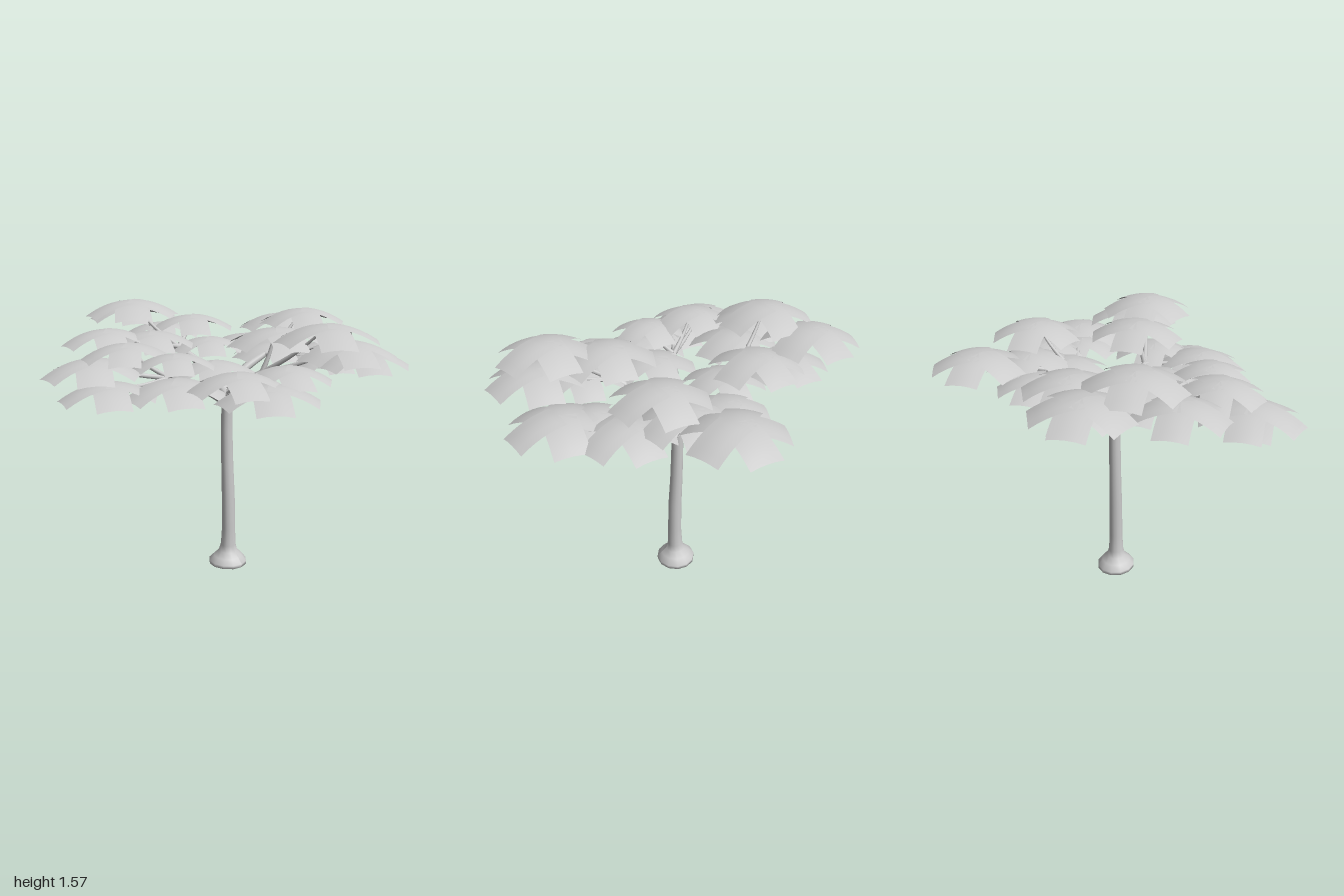
import * as THREE from 'three';

const bark = new THREE.MeshStandardMaterial({ color: 0xcccccc });
const leafMat = new THREE.MeshStandardMaterial({ color: 0xcccccc, side: THREE.DoubleSide });
const V = (x, y, z) => new THREE.Vector3(x, y, z);

// Tube along a smooth curve, narrowing from r0 to r1
function taperedTube(points, r0, r1, name) {
  const curve = new THREE.CatmullRomCurve3(points);
  const rings = 10, sides = 8;
  const geo = new THREE.TubeGeometry(curve, rings, 1, sides);
  const pos = geo.attributes.position;
  const p = V(0, 0, 0);
  for (let i = 0; i < pos.count; i++) {
    const t = Math.floor(i / (sides + 1)) / rings;
    const c = curve.getPointAt(t);
    p.fromBufferAttribute(pos, i).sub(c).multiplyScalar(r0 + (r1 - r0) * t).add(c);
    pos.setXYZ(i, p.x, p.y, p.z);
  }
  const mesh = new THREE.Mesh(geo, bark);
  mesh.name = name;
  return mesh;
}

// Square leaf card that starts at the origin, runs along -z and droops at the tip
function leafGeometry() {
  const geo = new THREE.PlaneGeometry(0.18, 0.25, 4, 6);
  geo.rotateX(-Math.PI / 2).translate(0, 0, -0.125);
  const pos = geo.attributes.position;
  for (let i = 0; i < pos.count; i++) {
    const x = pos.getX(i), d = -pos.getZ(i);
    pos.setY(i, 0.008 - 1.25 * d * d - 1.3 * x * x);
  }
  geo.computeVertexNormals();
  return geo;
}

// Limbs: fork point, elbow, and the leaf clusters [x, y, z, size] they carry
const limbs = [
  { name: 'back', start: [0.05, 1.05, 0], mid: [0.05, 1.18, -0.15], end: [0.0, 1.3, -0.34], clusters: [
    [0.0, 1.5, -0.73, 1], [-0.19, 1.56, -0.52, 1], [-0.4, 1.42, -0.5, 0.95],
    [0.17, 1.45, -0.4, 0.95], [0.14, 1.34, -0.24, 0.85], [-0.2, 1.4, -0.36, 0.95], [0.08, 1.4, -0.57, 0.9]] },
  { name: 'right', start: [0.05, 1.02, 0], mid: [-0.15, 1.14, -0.02], end: [-0.36, 1.22, -0.04], clusters: [
    [-0.7, 1.33, -0.25, 1], [-0.74, 1.24, -0.08, 0.95], [-0.54, 1.4, -0.17, 0.9],
    [-0.5, 1.25, 0.14, 1], [-0.46, 1.37, 0.1, 0.8], [-0.18, 1.29, 0.1, 0.95]] },
  { name: 'front', start: [0.05, 1.04, 0], mid: [0.0, 1.15, 0.14], end: [-0.04, 1.25, 0.32], clusters: [
    [0.02, 1.47, 0.36, 1], [0.03, 1.52, 0.67, 1], [0.13, 1.43, 0.72, 1],
    [-0.35, 1.3, 0.42, 0.95], [-0.28, 1.25, 0.56, 1], [-0.06, 1.3, 0.5, 0.9]] },
  { name: 'left', start: [0.05, 1.05, 0], mid: [0.14, 1.18, 0.02], end: [0.3, 1.27, 0.06], clusters: [
    [0.75, 1.42, -0.18, 1], [0.54, 1.5, 0.14, 0.95], [0.53, 1.37, 0.01, 0.95],
    [0.54, 1.32, 0.3, 0.95], [0.44, 1.33, 0.62, 1], [0.34, 1.32, 0.08, 0.9],
    [0.42, 1.33, -0.2, 0.85], [0.38, 1.3, 0.46, 0.8]] }
];

export function createModel() {
  const tree = new THREE.Group();
  tree.name = 'umbrellaTree';

  // Trunk with a flared foot and a slight bend
  const profile = [[0, 0.012], [0.09, 0.01], [0.113, 0.02], [0.113, 0.04], [0.085, 0.07], [0.056, 0.1],
    [0.045, 0.14], [0.04, 0.25], [0.039, 0.45], [0.036, 0.65], [0.034, 0.85], [0.033, 1.0], [0.036, 1.05], [0.0, 1.09]];
  const trunkGeo = new THREE.LatheGeometry(profile.map(p => new THREE.Vector2(...p)), 12);
  const tp = trunkGeo.attributes.position;
  for (let i = 0; i < tp.count; i++) {
    const y = tp.getY(i);
    tp.setX(i, tp.getX(i) + 0.05);
    tp.setY(i, Math.max(0, y - (y < 0.06 ? 0.04 * tp.getX(i) : 0)));
    tp.setZ(i, tp.getZ(i) + 0.008 * Math.sin(y * 5.5));
  }
  trunkGeo.computeVertexNormals();
  const trunk = new THREE.Mesh(trunkGeo, bark);
  trunk.name = 'trunk';
  tree.add(trunk);

  const leafGeo = leafGeometry();
  let count = 0;
  for (const limb of limbs) {
    const end = V(...limb.end);
    tree.add(taperedTube([V(...limb.start), V(...limb.mid), end], 0.032, 0.018, limb.name + 'Branch'));

    for (const [x, y, z, size] of limb.clusters) {
      // Twig curving from the branch end up to the cluster
      const top = V(x, y, z);
      const bend = end.clone().lerp(top, 0.55);
      bend.y -= 0.02;
      tree.add(taperedTube([end, bend, top], 0.015, 0.005, 'twig'));

      // Ring of drooping leaves, the first one pointing to the back
      const cluster = new THREE.Group();
      cluster.name = 'leafCluster';
      for (let k = 0; k < 5; k++) {
        const leaf = new THREE.Mesh(leafGeo, leafMat);
        leaf.name = 'leaf';
        leaf.rotation.y = -k * Math.PI * 0.4 + (k ? 0.12 * Math.sin(count * 2.3 + k) : 0);
        leaf.position.y = 0.004 * (k % 3);
        cluster.add(leaf);
      }
      cluster.position.copy(top);
      cluster.scale.setScalar(size);
      tree.add(cluster);
      count++;
    }
  }
  return tree;
}
